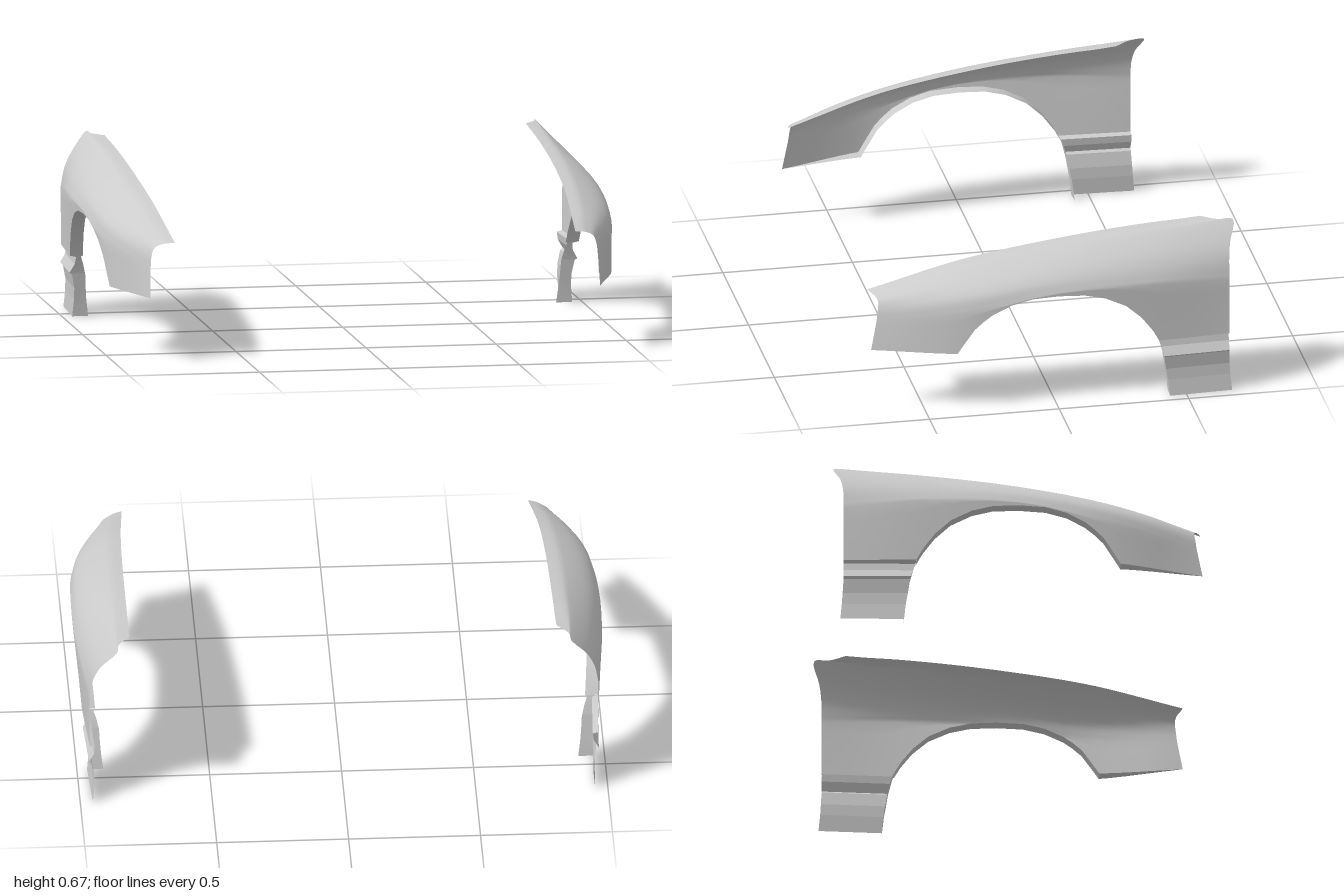
import * as THREE from 'three';

const { lerp } = THREE.MathUtils;
const material = new THREE.MeshStandardMaterial({ color: 0xcccccc, side: THREE.DoubleSide });

// Stations along the fender (front to back) and the guide lines that run through them
const STATIONS = [0.69, 0.35, 0, -0.35, -0.67];
const GUIDES = [ // x, y at each station; dz = shift of the front and back ends
  { x: [0.77, 0.792, 0.803, 0.807, 0.81], y: [0.455, 0.555, 0.615, 0.652, 0.667], dz: [0.005, 0.09] },
  { x: [0.80, 0.835, 0.847, 0.852, 0.853], y: [0.452, 0.55, 0.611, 0.648, 0.667], dz: [-0.005, 0.03] },
  { x: [0.82, 0.86, 0.872, 0.87, 0.862], y: [0.447, 0.54, 0.602, 0.64, 0.666], dz: [-0.015, -0.028] },
  { x: [0.845, 0.92, 0.943, 0.94, 0.92], y: [0.432, 0.505, 0.558, 0.58, 0.595], dz: [-0.022, -0.005] },
  { x: [0.856, 0.958, 0.982, 0.975, 0.95], y: [0.40, 0.465, 0.518, 0.53, 0.535], dz: [-0.018, 0.004] },
  { x: [0.86, 0.972, 1.0, 0.995, 0.965], y: [0.36, 0.41, 0.478, 0.48, 0.46], dz: [-0.013, 0.005] },
];
const LOW_X = [0.865, 0.972, 0.982, 0.98, 0.963];
const SILL = 0.245;

// Wheel arch, from its front foot over the top to the rear: z, y
const ARCH = [[0.385, SILL], [0.355, 0.292], [0.32, 0.345], [0.285, 0.378], [0.25, 0.405], [0.18, 0.44],
  [0.1, 0.46], [0, 0.465], [-0.1, 0.46], [-0.18, 0.44], [-0.26, 0.40], [-0.32, 0.345], [-0.365, 0.285], [-0.39, 0.24]];

// Lower panel behind the wheel: x, y, z of its front edge, z of its back edge
const LOWER = [[0.963, 0.24, -0.39, -0.665], [0.943, 0.234, -0.393, -0.665], [0.947, 0.205, -0.402, -0.665],
  [0.966, 0.172, -0.411, -0.665], [0.956, 0.164, -0.413, -0.665], [0.946, 0.11, -0.421, -0.668],
  [0.946, 0.065, -0.429, -0.671], [0.952, 0, -0.436, -0.677]];

// Smooth interpolation through the station values
function along(values, z) {
  let i = 0;
  while (i < STATIONS.length - 2 && z < STATIONS[i + 1]) i++;
  const slope = (k) => {
    const a = Math.max(k - 1, 0), b = Math.min(k + 1, STATIONS.length - 1);
    return (values[b] - values[a]) / (STATIONS[b] - STATIONS[a]);
  };
  const h = STATIONS[i + 1] - STATIONS[i], t = (z - STATIONS[i]) / h;
  const t2 = t * t, t3 = t2 * t;
  return (2 * t3 - 3 * t2 + 1) * values[i] + (t3 - 2 * t2 + t) * h * slope(i)
    + (3 * t2 - 2 * t3) * values[i + 1] + (t3 - t2) * h * slope(i + 1);
}

function bottomY(z) {
  for (let i = 0; i < ARCH.length - 1; i++) {
    const [z0, y0] = ARCH[i], [z1, y1] = ARCH[i + 1];
    if (z <= z0 && z >= z1) return lerp(y0, y1, (z - z0) / (z1 - z0));
  }
  return z > 0 ? SILL : 0.24;
}

// Surface through rows of points; side = -1 mirrors it in x
function surface(name, rows, side) {
  const cols = rows[0].length, index = [];
  const positions = rows.flat().flatMap((p) => [p.x * side, p.y, p.z]);
  for (let r = 0; r < rows.length - 1; r++) {
    for (let c = 0; c < cols - 1; c++) {
      const a = r * cols + c, b = a + 1, d = a + cols, e = d + 1;
      if (side > 0) index.push(a, b, d, b, e, d);
      else index.push(a, d, b, b, d, e);
    }
  }
  const geometry = new THREE.BufferGeometry();
  geometry.setAttribute('position', new THREE.Float32BufferAttribute(positions, 3));
  geometry.setIndex(index);
  geometry.computeVertexNormals();
  const mesh = new THREE.Mesh(geometry, material);
  mesh.name = name;
  return mesh;
}

const V = (x, y, z) => new THREE.Vector3(x, y, z);

// One cross-section: rounded shoulder, then the side wall down to the arch or sill
function section(z) {
  const front = Math.max(0, (z - 0.52) / 0.17), back = Math.max(0, (-z - 0.5) / 0.17);
  const low = bottomY(z);
  const guide = GUIDES.map((g, i) => {
    const y = along(g.y, z);
    return V(along(g.x, z), i === 5 ? Math.max(y, low + 0.004) : y, z + g.dz[0] * front + g.dz[1] * back);
  });
  const points = new THREE.CatmullRomCurve3(guide).getPoints(20);
  const top = guide[5], lowX = along(LOW_X, z);
  const lowZ = z + 0.01 * front + 0.005 * back;
  for (let k = 1; k <= 5; k++) {
    const y = lerp(top.y, low, k / 5);
    const t = (top.y - y) / (top.y - 0.24);
    points.push(V(lerp(top.x, lowX, t), y, lerp(top.z, lowZ, t)));
  }
  return points;
}

function fender(side) {
  const group = new THREE.Group();
  group.name = side > 0 ? 'leftFender' : 'rightFender';

  // Main panel, with stations on every arch point
  const zs = ARCH.map((p) => p[0]);
  for (let i = 0; i < 8; i++) zs.push(lerp(0.69, 0.385, i / 8));
  for (let i = 1; i <= 8; i++) zs.push(lerp(-0.39, -0.67, i / 8));
  zs.sort((a, b) => b - a);
  const sections = zs.map(section);
  group.add(surface('fenderPanel', sections, side));

  // Stepped panel behind the wheel
  const lowerRows = LOWER.map(([x, y, z0, z1], r) => Array.from({ length: 5 }, (_, i) => {
    const z = lerp(z0, z1, i / 4);
    return V(r === 0 ? along(LOW_X, Math.max(z, -0.67)) : x + (z + 0.67) * 0.04, y, z);
  }));
  for (let r = 0; r < lowerRows.length - 1; r++) {
    group.add(surface('lowerPanelBand', [lowerRows[r], lowerRows[r + 1]], side));
  }

  // Lip turned inwards around the arch
  const edge = sections.filter((_, i) => zs[i] <= 0.385 && zs[i] >= -0.39).map((s) => s[s.length - 1]);
  const inward = (p, w) => V(p.x - w, p.y, p.z);
  group.add(surface('archLip', [edge, edge.map((p) => inward(p, 0.05))], side));

  // Lip down the front edge of the lower panel
  const post = lowerRows.map((row) => row[0]);
  const postInner = [0.927, 0.935, 0.925, 0.917, 0.915, 0.912, 0.908, 0.90];
  group.add(surface('lowerLip', [post, post.map((p, i) => V(postInner[i], p.y, p.z - 0.002))], side));

  // Narrow lip under the front corner, widening towards the arch
  const sill = sections.filter((_, i) => zs[i] >= 0.385).map((s) => s[s.length - 1]);
  group.add(surface('sillLip', [sill, sill.map((p, i) => V(p.x - 0.05 * i / (sill.length - 1), p.y, p.z))], side));
  return group;
}

export function createModel() {
  const model = new THREE.Group();
  model.name = 'frontFenders';
  model.add(fender(1), fender(-1));
  return model;
}
